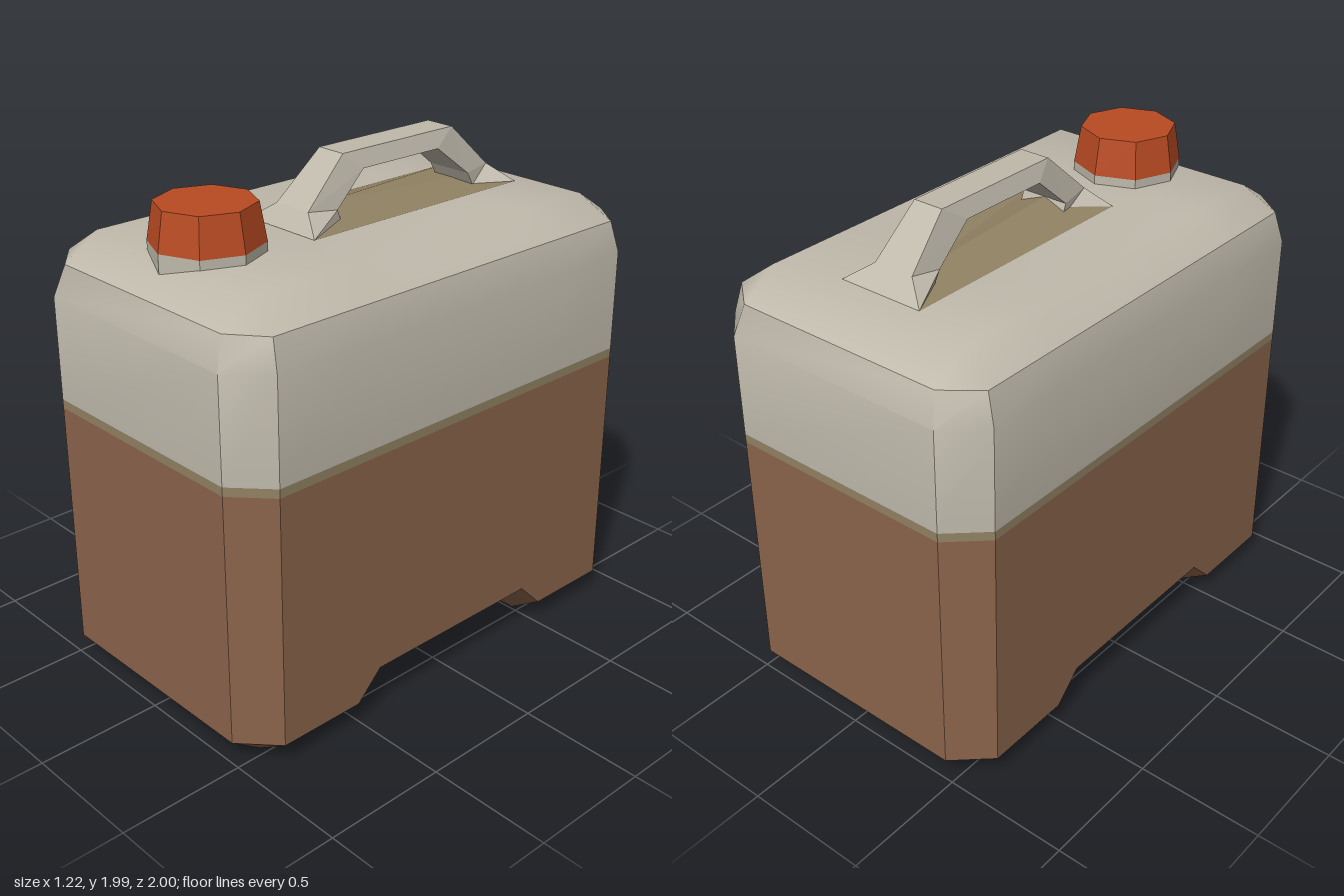
import * as THREE from 'three';
import { mergeVertices, toCreasedNormals } from 'three/addons/utils/BufferGeometryUtils.js';

const material = (name, color) => Object.assign(new THREE.MeshStandardMaterial({ color }), { name });

// Flat-shaded geometry from a list of convex corner loops (counter-clockwise from outside)
function fromFaces(faces) {
  const pos = [];
  for (const f of faces) {
    for (let i = 1; i < f.length - 1; i++) {
      const [a, b, c] = [f[0], f[i], f[i + 1]].map(p => new THREE.Vector3(...p));
      const area = b.clone().sub(a).cross(c.clone().sub(a)).length();
      if (area < 1e-7) continue; // corners that meet in one point
      for (const v of [a, b, c]) pos.push(v.x, v.y, v.z);
    }
  }
  const g = new THREE.BufferGeometry();
  g.setAttribute('position', new THREE.Float32BufferAttribute(pos, 3));
  g.computeVertexNormals();
  return g;
}

// Quads joining successive rings, each listed from the lower one up
function loft(rings) {
  const faces = [];
  for (let r = 0; r < rings.length - 1; r++) {
    const a = rings[r], b = rings[r + 1], n = a.length;
    for (let i = 0; i < n; i++) {
      const j = (i + 1) % n;
      faces.push([a[i], a[j], b[j], b[i]]);
    }
  }
  return faces;
}

// Chamfered footprint; the extra side points shape the underside notch
const half = [[0.47, 1], [0.61, 0.87], [0.61, 0.51], [0.61, 0.4],
  [0.61, -0.4], [0.61, -0.51], [0.61, -0.87], [0.47, -1]];
const outline = [...half, ...half.map(([x, z]) => [-x, -z])];
const lift = z => (Math.abs(z) < 0.45 ? 0.11 : 0);
const wallRing = y => outline.map(([x, z]) => [x, y, z]);
const insetRing = (y, hx, hz) => outline.map(([x, z]) =>
  [Math.sign(x) * hx, y, THREE.MathUtils.clamp(z, -hz, hz)]);

// Strips closing a ring across x
function lid(ring, down) {
  const faces = [];
  for (let i = 0; i < 7; i++) {
    const f = [ring[i], ring[i + 1], ring[14 - i], ring[15 - i]];
    faces.push(down ? f.reverse() : f);
  }
  return faces;
}

export function createModel() {
  const group = new THREE.Group();
  const plastic = material('greyPlastic', 0xbfb9ab);
  const brown = material('brownPaint', 0x8b644b);
  const tan = material('tanTrim', 0x918263);
  const orange = material('orangeCap', 0xb84a22);
  const add = (name, geometry, mat) => {
    const mesh = new THREE.Mesh(geometry, mat);
    mesh.name = name;
    group.add(mesh);
    return mesh;
  };
  const crease = THREE.MathUtils.degToRad(40);

  // Brown lower body with bevelled, notched underside
  const floor = insetRing(0, 0.47, 0.87).map(([x, y, z]) => [x, y + lift(z), z]);
  const edge = outline.map(([x, z]) => [x, 0.09 + lift(z), z]);
  add('lowerBody', toCreasedNormals(fromFaces([
    ...lid(floor, true), ...loft([floor, edge, wallRing(1.09)])]), crease), brown);

  // Trim band and grey upper walls
  add('trimBand', fromFaces(loft([wallRing(1.09), wallRing(1.125)])), tan);
  const shoulder = outline.map(([x, z]) => [x * 0.943, 1.65, z * (Math.abs(z) > 0.95 ? 0.96 : 0.983)]);
  add('upperBody', toCreasedNormals(
    fromFaces(loft([wallRing(1.125), wallRing(1.53), shoulder])), crease), plastic);

  // Smooth sloping shoulders and deck
  const deck = insetRing(1.745, 0.45, 0.81);
  const top = fromFaces([...loft([shoulder, deck]), ...lid(deck, false)]);
  top.deleteAttribute('normal');
  const smoothTop = mergeVertices(top);
  smoothTop.computeVertexNormals();
  add('topDeck', smoothTop, plastic);

  // Tan ridge under the handle
  const y = 1.747;
  const [fl, fr, bl, br] = [[0.18, y, 0.32], [-0.18, y, 0.32], [0.18, y, -0.74], [-0.18, y, -0.74]];
  const ridgeFront = [0, 1.8, 0.15], ridgeBack = [0, 1.755, -0.6];
  add('handlePanel', fromFaces([
    [fr, fl, ridgeFront], [bl, br, ridgeBack],
    [fl, bl, ridgeBack, ridgeFront], [br, fr, ridgeFront, ridgeBack]]), tan);

  // Handle sections, front to back: outer z, y, half width; inner z, y, half width
  const sections = [
    [0.325, 1.747, 0.18, 0.12, 1.747, 0.1],
    [0.27, 1.815, 0.085, 0.14, 1.8, 0.1],
    [0.08, 1.99, 0.063, 0, 1.925, 0.088],
    [-0.49, 1.99, 0.063, -0.39, 1.925, 0.088],
    [-0.67, 1.815, 0.085, -0.55, 1.8, 0.1],
    [-0.74, 1.747, 0.18, -0.58, 1.747, 0.1],
  ].map(([oz, oy, ow, iz, iy, iw]) => [[-ow, oy, oz], [ow, oy, oz], [iw, iy, iz], [-iw, iy, iz]]);
  add('handle', fromFaces(loft(sections)), plastic);

  // Eight-sided spout neck and tapered cap
  const drum = (name, rTop, rBottom, y0, y1, mat) => {
    const g = new THREE.CylinderGeometry(rTop, rBottom, y1 - y0, 8).toNonIndexed();
    g.computeVertexNormals();
    add(name, g, mat).position.set(0, (y0 + y1) / 2, 0.66);
  };
  drum('neck', 0.21, 0.21, 1.69, 1.78, plastic);
  drum('cap', 0.185, 0.21, 1.78, 1.925, orange);

  return group;
}
